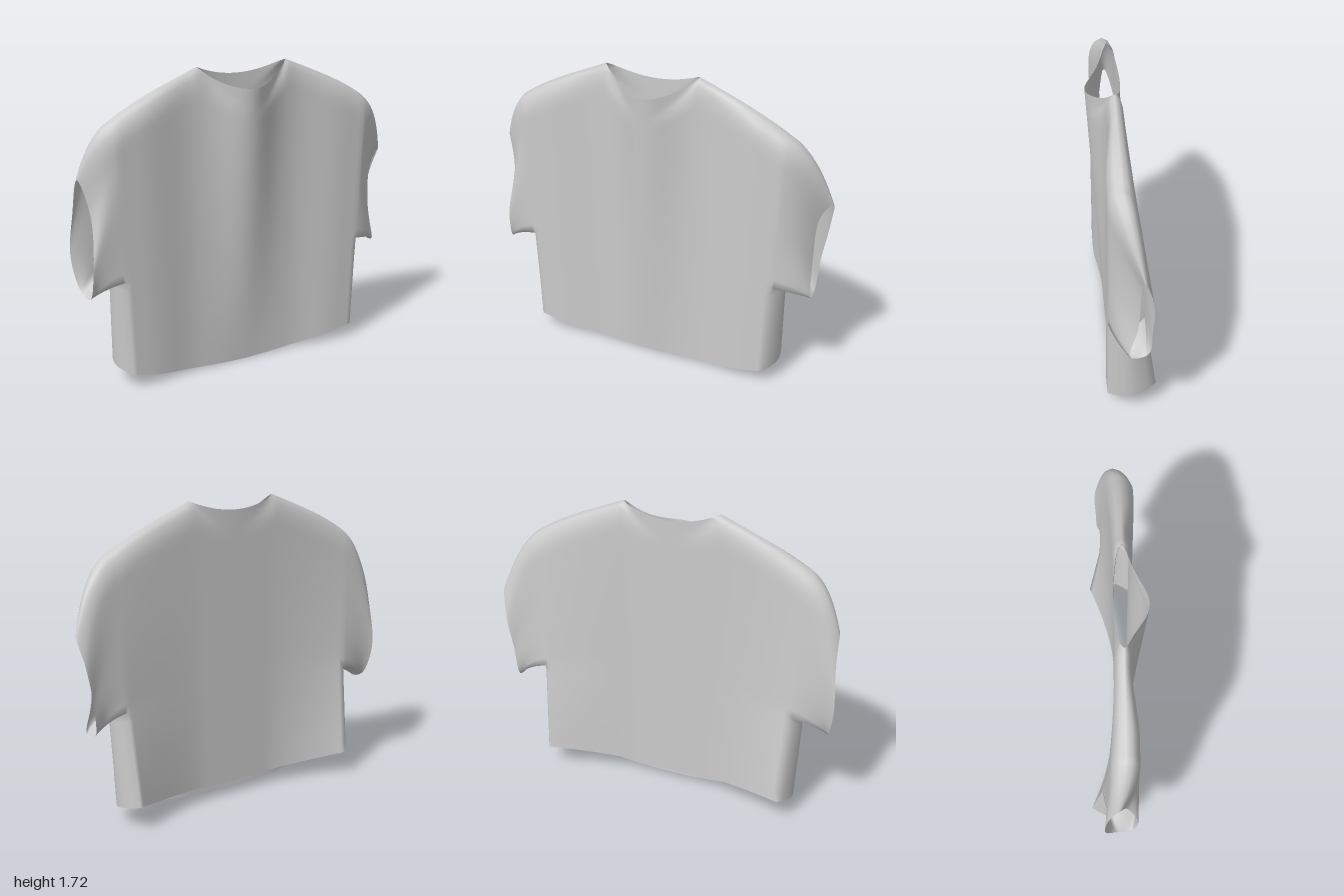
import * as THREE from 'three';

const COLS = 56, ROWS = 32, ARMPIT = 10, SIDE = 6;
const NECK = 10 / 28;            // neck opening as a fraction of the half width
const RIDGE = 0.03;              // depth of the shoulder seam
const { lerp, smoothstep } = THREE.MathUtils;

// Point on the front or back panel: s runs -1..1 across, row runs from hem to shoulder
function panel(s, row, front) {
  const t = 1 - Math.pow(1 - row / ROWS, 1.3);
  const a = Math.abs(s), n = Math.min(1, a / NECK);
  const q = Math.max(0, (a - NECK) / (1 - NECK));
  const hem = front ? 0.08 * s * s : 0.08 + 0.06 * s * s;
  const neckDrop = front ? 0.12 * (1 - Math.pow(n, 2.2)) : 0.06 * (1 - n * n);
  const top = 1.72 - neckDrop - 0.2 * q - 0.03 * Math.pow(q, 4);
  const y = lerp(hem, top, t);
  let z;
  if (front) {
    z = 0.065 + 0.1 * t * Math.exp(-Math.pow(s / 0.22, 2)) + 0.037 * smoothstep(a, 0.4, 0.85);
  } else {
    const flare = t < 0.4 ? lerp(0.145, 0.07, t / 0.4) : lerp(0.07, 0.02, (t - 0.4) / 0.6);
    z = -0.018 - flare * Math.pow(Math.max(0, (a - 0.3) / 0.7), 1.6);
  }
  // Round the panels together along the shoulder, leave them apart at the neck
  const e = Math.max(0, (y - top + 0.14) / 0.14);
  const open = Math.max(Math.sqrt(1 - n * n), Math.sqrt(Math.max(0, 1 - e * e)));
  z = RIDGE + (z - RIDGE) * open;
  return new THREE.Vector3(-0.02 + s * lerp(0.72, 0.775, t), y, z);
}

// Point on the rounded side wall, k from front (0) to back (1)
function sideWall(sign, row, k) {
  const p = panel(sign, row, true).lerp(panel(sign, row, false), k);
  p.x += sign * 0.055 * Math.sin(Math.PI * k);
  return p;
}

// Shared vertices, so that shading runs smoothly from part to part
function makePool() {
  const positions = [], seen = new Map();
  const add = (p) => {
    const key = p.toArray().map((v) => Math.round(v * 1e4)).join();
    if (!seen.has(key)) {
      seen.set(key, positions.length / 3);
      positions.push(p.x, p.y, p.z);
    }
    return seen.get(key);
  };
  return { positions, add };
}

// Joins a grid of vertex numbers with triangles
function stitch(grid, flip = false) {
  const out = [];
  const tri = (a, b, c) => {
    if (a === b || b === c || a === c) return;
    out.push(a, flip ? c : b, flip ? b : c);
  };
  for (let j = 0; j + 1 < grid.length; j++) {
    for (let i = 0; i + 1 < grid[j].length; i++) {
      const a = grid[j][i], b = grid[j][i + 1], c = grid[j + 1][i + 1], d = grid[j + 1][i];
      tri(a, b, c);
      tri(a, c, d);
    }
  }
  return out;
}

// Cuff edges: bottom front, up the front, top, down the back, bottom back
const CUFFS = {
  leftSleeve: [
    [0.92, 0.56, 0], [0.905, 0.75, -0.04], [0.925, 1.02, -0.05], [0.99, 1.11, -0.06],
    [0.965, 0.95, -0.11], [0.93, 0.75, -0.11], [0.915, 0.57, -0.09],
  ],
  rightSleeve: [
    [-0.955, 0.55, 0.06], [-0.945, 0.72, 0.1], [-0.925, 1.0, 0.04], [-0.975, 1.19, 0],
    [-0.985, 1.0, -0.06], [-1.0, 0.75, -0.08], [-0.97, 0.57, -0.03],
  ],
};

// Sleeve lofted from the armhole to the cuff
function sleeveGrid(sign, cuffPoints, add) {
  const loop = [];
  for (let r = ARMPIT; r <= ROWS; r++) loop.push(panel(sign, r, true));
  for (let r = ROWS - 1; r >= ARMPIT; r--) loop.push(panel(sign, r, false));
  for (let k = SIDE - 1; k > 0; k--) loop.push(sideWall(sign, ARMPIT, k / SIDE));
  const cuff = new THREE.CatmullRomCurve3(cuffPoints.map((p) => new THREE.Vector3(...p)), true);
  const steps = 12, grid = [];
  for (let i = 0; i <= loop.length; i++) {
    const a = loop[i % loop.length];
    const c = cuff.getPoint((i % loop.length) / loop.length);
    const mid = new THREE.Vector3(lerp(a.x, c.x, 0.62), lerp(a.y, c.y, 0.2), lerp(a.z, c.z, 0.25));
    const line = new THREE.QuadraticBezierCurve3(a, mid, c);
    grid.push(Array.from({ length: steps + 1 }, (_, k) => add(line.getPoint(k / steps))));
  }
  return grid;
}

export function createModel() {
  const { positions, add } = makePool();
  const parts = {};

  // Front and back panels
  for (const front of [true, false]) {
    const grid = [];
    for (let r = 0; r <= ROWS; r++) {
      const line = [];
      for (let i = 0; i <= COLS; i++) line.push(add(panel((i / COLS) * 2 - 1, r, front)));
      grid.push(line);
    }
    parts[front ? 'frontPanel' : 'backPanel'] = stitch(grid, !front);
  }

  // Side walls below the armpits, and the sleeves above them
  for (const sign of [1, -1]) {
    const name = sign > 0 ? 'left' : 'right';
    const wall = [];
    for (let r = 0; r <= ARMPIT; r++) {
      wall.push(Array.from({ length: SIDE + 1 }, (_, k) => add(sideWall(sign, r, k / SIDE))));
    }
    parts[name + 'Side'] = stitch(wall, sign < 0);
    parts[name + 'Sleeve'] = stitch(sleeveGrid(sign, CUFFS[name + 'Sleeve'], add), sign < 0);
  }

  // Smooth normals over the whole garment, then one mesh per part
  const whole = new THREE.BufferGeometry();
  whole.setAttribute('position', new THREE.Float32BufferAttribute(positions, 3));
  whole.setIndex(Object.values(parts).flat());
  whole.computeVertexNormals();

  const material = new THREE.MeshStandardMaterial({ color: 0xcccccc, side: THREE.DoubleSide });
  const shirt = new THREE.Group();
  shirt.name = 'shirt';
  for (const [name, index] of Object.entries(parts)) {
    const geometry = new THREE.BufferGeometry();
    geometry.setAttribute('position', whole.attributes.position);
    geometry.setAttribute('normal', whole.attributes.normal);
    geometry.setIndex(index);
    const mesh = new THREE.Mesh(geometry, material);
    mesh.name = name;
    shirt.add(mesh);
  }
  return shirt;
}
